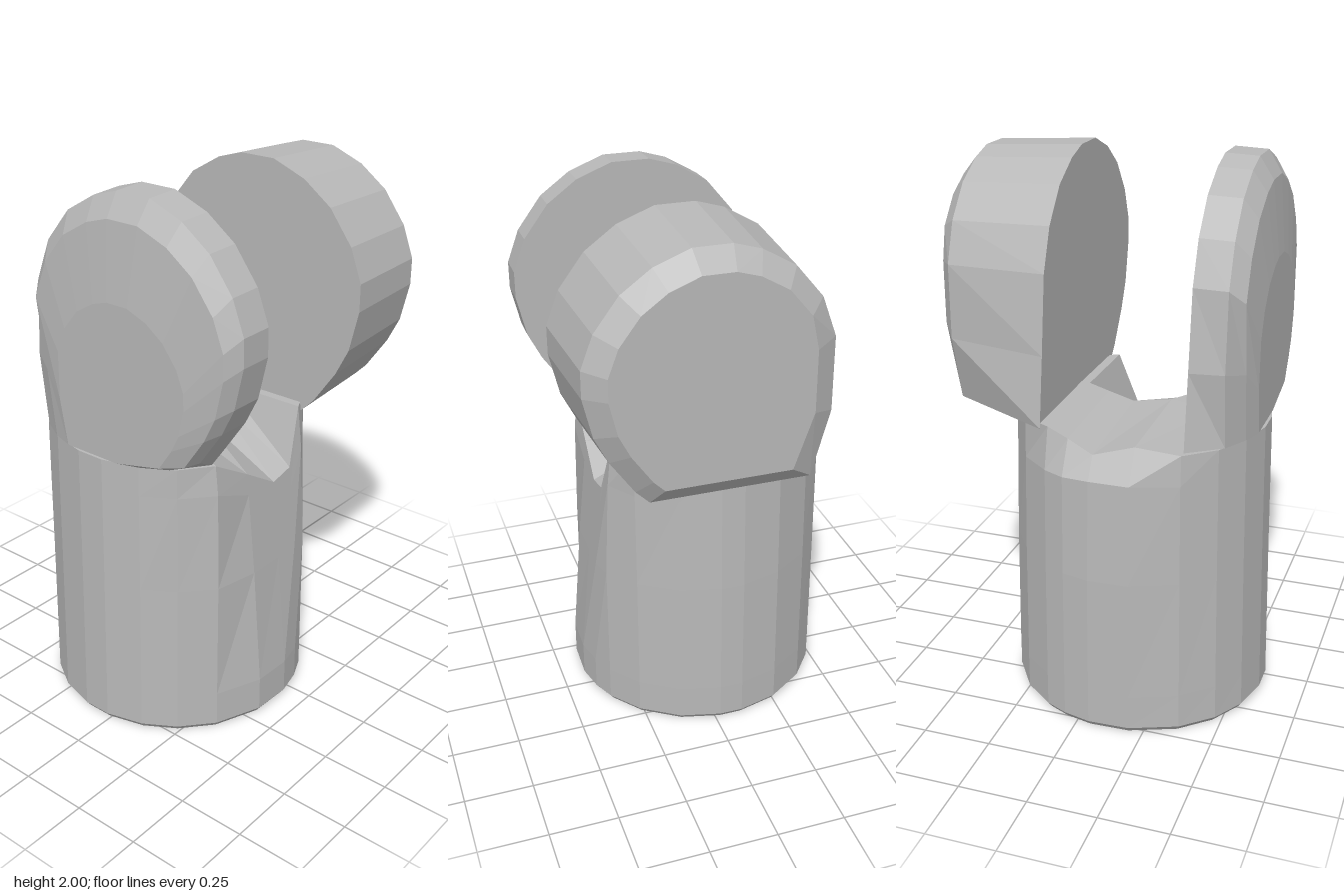
import * as THREE from 'three';

const { lerp, clamp } = THREE.MathUtils;
const CX = -0.06, CZ = 0.11, R = 0.48; // centre and radius of the round foot

// Flat-shaded geometry from a list of triangle corners
function facets(pos) {
  const g = new THREE.BufferGeometry();
  g.setAttribute('position', new THREE.Float32BufferAttribute(pos, 3));
  g.computeVertexNormals();
  return g;
}

const quad = (out, a, b, c, d) => out.push(...a, ...b, ...c, ...a, ...c, ...d);

// Side skin between successive rings
function skin(rings) {
  const out = [];
  for (let j = 0; j + 1 < rings.length; j++) {
    const p = rings[j], q = rings[j + 1], n = p.length;
    for (let i = 0; i < n; i++) quad(out, p[i], p[(i + 1) % n], q[(i + 1) % n], q[i]);
  }
  return out;
}

// Fan that closes a ring
function cap(ring, out, flip) {
  const n = ring.length;
  const c = [0, 1, 2].map(k => ring.reduce((s, p) => s + p[k], 0) / n);
  for (let i = 0; i < n; i++) {
    const a = ring[i], b = ring[(i + 1) % n];
    out.push(...c, ...(flip ? b : a), ...(flip ? a : b));
  }
}

// Linear interpolation through [key, value] points with falling keys
function sample(table, key) {
  for (let i = 0; i + 1 < table.length; i++) {
    const [k0, v0] = table[i], [k1, v1] = table[i + 1];
    if (key <= k0 && key >= k1) return lerp(v0, v1, (key - k0) / (k1 - k0));
  }
  return key > table[0][0] ? table[0][1] : table[table.length - 1][1];
}

// Saddle height along its right rim, middle and left rim, by z
const rimRight = [[0.36, 1.08], [0.05, 0.9], [-0.05, 0.92], [-0.13, 1.13]];
const rimMiddle = [[0.37, 1.08], [0.36, 1.13], [0.05, 1.08], [-0.13, 1.13]];
const rimLeft = [[0.37, 1.08], [0.36, 1.13], [0.05, 1.05], [-0.13, 1.12]];
// Flats that trim the round body on each side, by y
const flatRight = [[1.14, 0.32], [1, 0.335], [0.15, 0.42]];
const flatLeft = [[1.14, -0.44], [1.08, -0.455], [0.97, -0.52], [0.6, -0.54]];
// Body radius to the front and back, by y
const radFront = [[1.08, 0.46], [0.6, 0.468], [0.02, 0.48], [0, 0.465]];
const radBack = [[1.1, 0.46], [0.4, 0.48], [0.02, 0.48], [0, 0.465]];

function bodyGeometry() {
  const zs = [0.587, 0.55, 0.48, 0.37, 0.2, 0.05, -0.05, -0.13, -0.24, -0.33, -0.368];
  const steps = [...zs.map(z => [z, 1]), ...[...zs].reverse().map(z => [z, -1])];
  const ring = level => steps.map(([z, side]) => {
    const top = sample(side > 0 ? rimRight : rimLeft, z);
    const y = level === 'top' ? top : Math.min(level, top - 0.08);
    const s = (z - CZ) / R;
    const rx = y < 0.02 ? 0.465 : R;
    const rz = sample(s > 0 ? radFront : radBack, y);
    const x = CX + side * rx * Math.sqrt(Math.max(0, 1 - s * s));
    return [clamp(x, sample(flatLeft, y), sample(flatRight, y)), y, CZ + s * rz];
  });
  const rings = [0, 0.02, 0.15, 0.6, 0.97, 'top'].map(ring);
  const out = skin(rings);
  cap(rings[0], out, true);
  // Saddle surface, laid as strips from the right rim over the middle to the left rim
  const t = rings[rings.length - 1], n = t.length;
  const middle = zs.map((z, k) => [-0.02, sample(rimMiddle, z), t[k][2]]);
  for (let k = 0; k + 1 < zs.length; k++) {
    quad(out, t[k], t[k + 1], middle[k + 1], middle[k]);
    quad(out, middle[k], middle[k + 1], t[n - 2 - k], t[n - 1 - k]);
  }
  return facets(out);
}

// Shared lug outline, anticlockwise from the lower left corner
const outline = [
  [-0.43, 1.08], [0.31, 1.08], [0.36, 1.15], [0.45, 1.28], [0.5, 1.38], [0.535, 1.53],
  [0.535, 1.63], [0.49, 1.75], [0.4, 1.87], [0.29, 1.95], [0.16, 2], [0.02, 2],
  [-0.08, 1.97], [-0.2, 1.9], [-0.3, 1.78], [-0.36, 1.63], [-0.395, 1.35],
];

function lugGeometry(rings) {
  const out = skin(rings);
  cap(rings[0], out, true);
  cap(rings[rings.length - 1], out, false);
  return facets(out);
}

// Thin front lug: its foot is flush with the round body, its face is slightly domed
function frontLug() {
  const layers = [[0.36, 1], [0.48, 0.995], [0.53, 0.91], [0.557, 0.62]];
  return lugGeometry(layers.map(([z, k]) => {
    const half = R * Math.sqrt(1 - ((z - CZ) / 0.46) ** 2);
    return outline.map(([x, y]) => {
      const px = 0.06 + (x - 0.06) * k, py = 1.08 + (y - 1.08) * k;
      if (y < 1.1) return [x < 0 ? Math.max(x, CX - half) : Math.min(x, CX + half), py, z];
      return [y < 1.5 ? Math.max(px, CX - half - 0.03) : px, py, z];
    });
  }));
}

// Thick rear lug, tapering and chamfered towards the back
function rearLug() {
  // z, scale, leftmost x at the foot, leftmost x above it
  const layers = [
    [-0.58, 0.8, -0.18, -0.25], [-0.52, 0.955, -0.27, -0.335], [-0.155, 1, -0.43, -0.43],
  ];
  return lugGeometry(layers.map(([z, k, footX, minX]) => outline.map(([x, y]) => [
    Math.max(y < 1.1 ? footX : minX, 0.08 + (x - 0.08) * k),
    1.55 + (Math.max(y, 1.1) - 1.55) * k,
    z,
  ])));
}

export function createModel() {
  const grey = new THREE.MeshStandardMaterial({ color: 0xb8b8b8 });
  grey.name = 'grey';
  grey.flatShading = true;
  const model = new THREE.Group();
  model.name = 'forkedPost';
  const parts = { body: bodyGeometry(), frontLug: frontLug(), rearLug: rearLug() };
  for (const [name, geometry] of Object.entries(parts)) {
    const mesh = new THREE.Mesh(geometry, grey);
    mesh.name = name;
    model.add(mesh);
  }
  return model;
}
